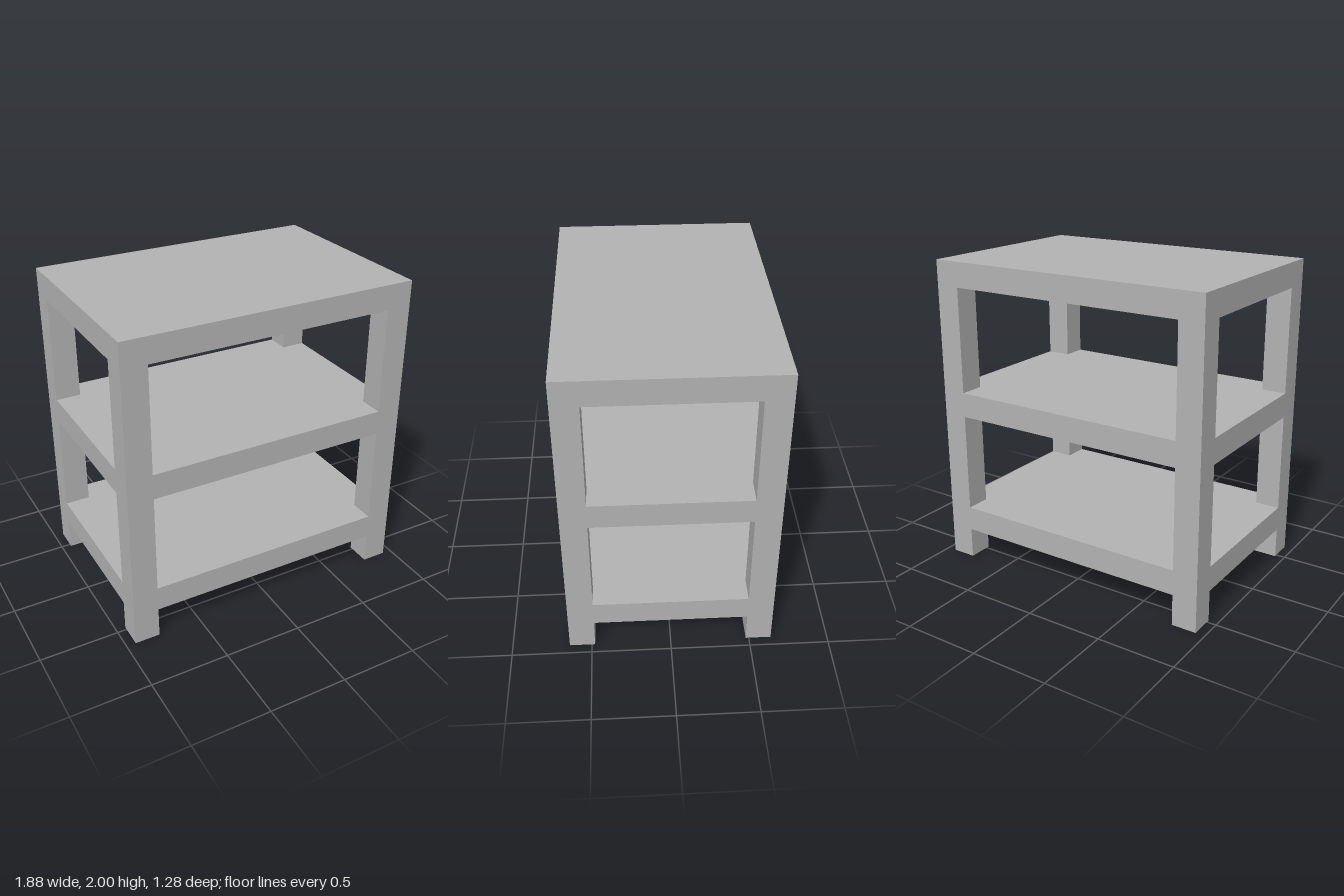
import * as THREE from 'three';

const WIDTH = 1.88, DEPTH = 1.28, POST = 0.16;
const SHELF_BOTTOMS = [0.2, 1.0, 1.84];
const SHELF_THICKNESS = 0.16;

export function createModel() {
  const model = new THREE.Group();
  model.name = 'shelfTable';
  const grey = new THREE.MeshStandardMaterial({ color: 0xb2b2b2 });
  grey.name = 'plain grey';

  // Box standing on the given height
  function addBox(parent, name, w, h, d, x, bottom, z) {
    const mesh = new THREE.Mesh(new THREE.BoxGeometry(w, h, d), grey);
    mesh.name = name;
    mesh.position.set(x, bottom + h / 2, z);
    parent.add(mesh);
  }

  // Full-size slabs: lower shelf, middle shelf and top
  ['lowerShelf', 'middleShelf', 'tableTop'].forEach((name, i) =>
    addBox(model, name, WIDTH, SHELF_THICKNESS, DEPTH, 0, SHELF_BOTTOMS[i], 0));

  // Corner legs, in flush segments between the slabs
  for (const sx of [1, -1]) {
    for (const sz of [1, -1]) {
      const leg = new THREE.Group();
      leg.name = (sz > 0 ? 'front' : 'back') + (sx > 0 ? 'Left' : 'Right') + 'Leg';
      let bottom = 0;
      ['foot', 'lowerPost', 'upperPost'].forEach((name, i) => {
        addBox(leg, name, POST, SHELF_BOTTOMS[i] - bottom, POST,
          sx * (WIDTH - POST) / 2, bottom, sz * (DEPTH - POST) / 2);
        bottom = SHELF_BOTTOMS[i] + SHELF_THICKNESS;
      });
      model.add(leg);
    }
  }
  return model;
}
